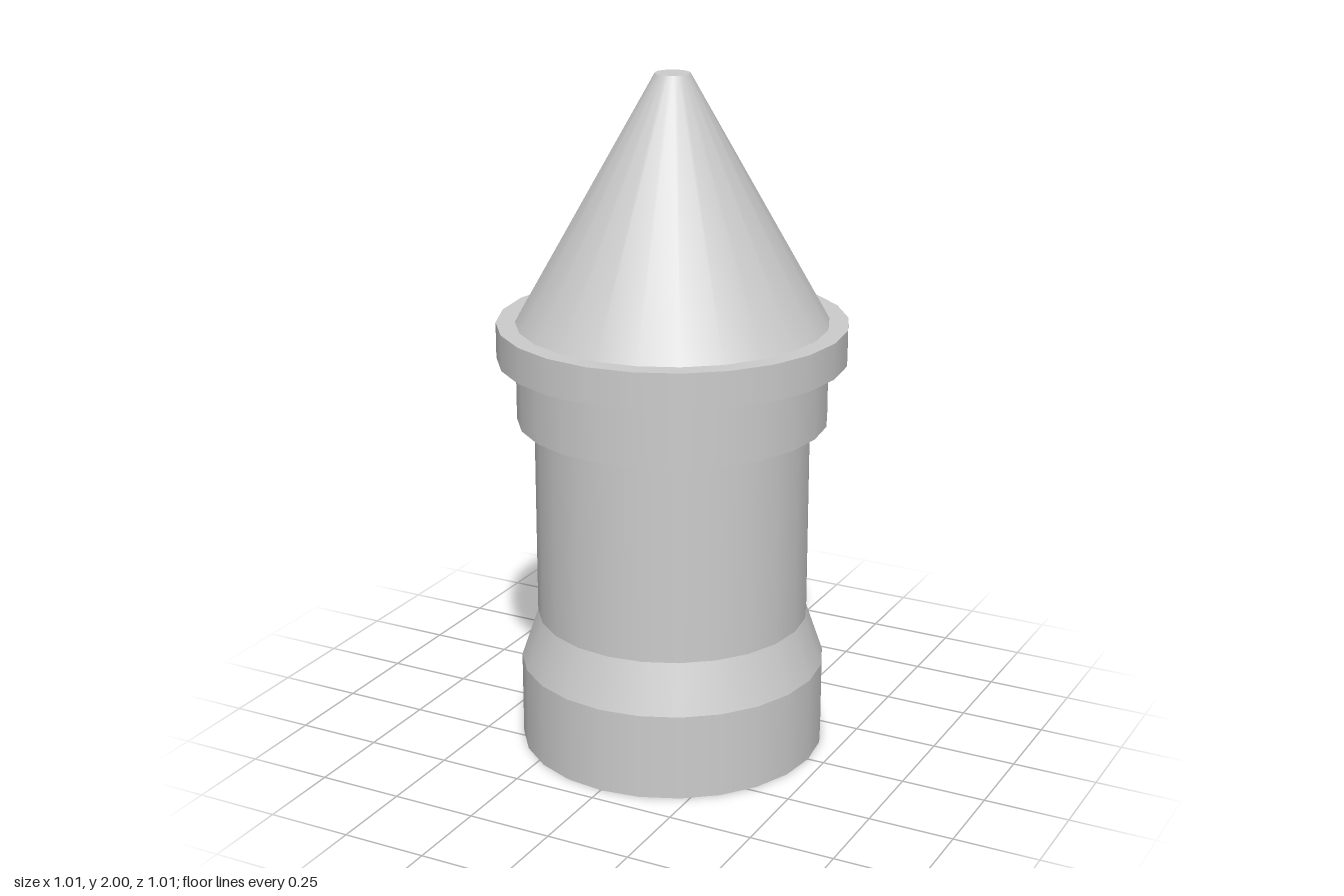
import * as THREE from 'three';

const SIDES = 24;

export function createModel() {
  const group = new THREE.Group();
  const material = new THREE.MeshStandardMaterial({ color: 0xcccccc });

  // One round section between two heights
  const section = (name, bottomRadius, topRadius, y0, y1) => {
    const geometry = new THREE.CylinderGeometry(topRadius, bottomRadius, y1 - y0, SIDES);
    const mesh = new THREE.Mesh(geometry, material);
    mesh.name = name;
    mesh.position.y = (y0 + y1) / 2;
    group.add(mesh);
  };

  // Tower, from the ground up
  section('base', 0.45, 0.45, 0, 0.255);
  section('baseTaper', 0.45, 0.4, 0.255, 0.4);
  section('shaft', 0.4, 0.4, 0.4, 1.0);
  section('collar', 0.45, 0.45, 1.0, 1.185);
  section('rim', 0.505, 0.505, 1.185, 1.29);

  // Conical roof with a small flat tip
  section('roof', 0.45, 0.05, 1.29, 2);

  return group;
}
